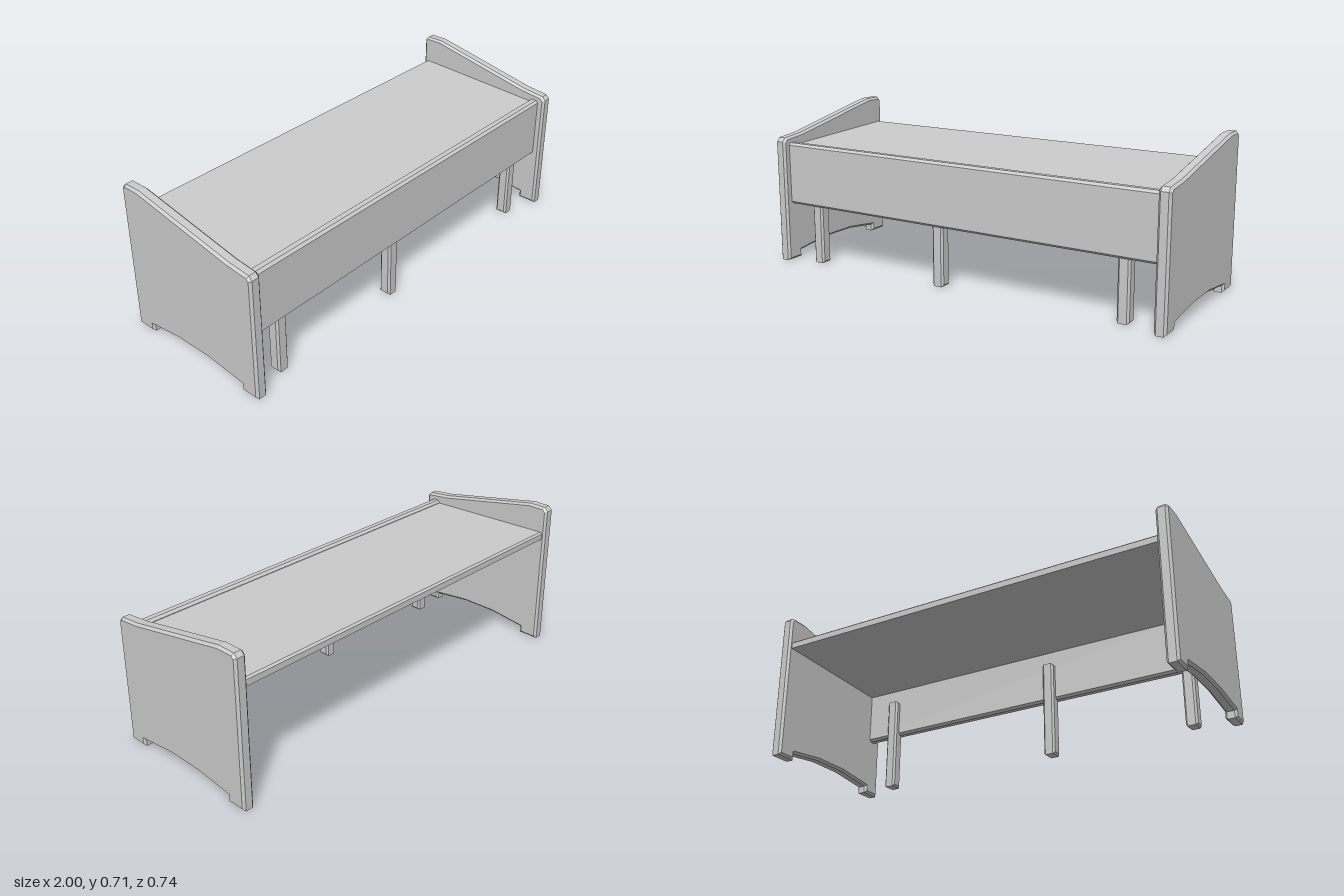
import * as THREE from 'three';

const material = new THREE.MeshStandardMaterial({ color: 0xcccccc, flatShading: true });

// Extrude a [z, y] outline between two x positions, with an optional chamfer.
function extrudeX(name, outline, x0, x1, bevel = 0) {
  const shape = new THREE.Shape(outline.map(([z, y]) => new THREE.Vector2(-z, y)));
  const geometry = new THREE.ExtrudeGeometry(shape, {
    depth: x1 - x0 - 2 * bevel,
    bevelEnabled: bevel > 0,
    bevelSize: bevel,
    bevelThickness: bevel,
    bevelOffset: -bevel,
    bevelSegments: 1,
  });
  geometry.rotateY(Math.PI / 2);
  geometry.translate(x0 + bevel, 0, 0);
  const mesh = new THREE.Mesh(geometry, material);
  mesh.name = name;
  return mesh;
}

export function createModel() {
  const model = new THREE.Group();
  model.name = 'bed';

  // End panels: sloping top, two feet and a shallow arch below
  const panel = [
    [0.368, 0], [0.368, 0.578], [0.352, 0.596], [0.245, 0.607],
    [-0.268, 0.706], [-0.351, 0.706], [-0.368, 0.688], [-0.368, 0],
    [-0.269, 0], [-0.269, 0.033], [-0.09, 0.055], [0.087, 0.055],
    [0.276, 0.033], [0.276, 0],
  ];
  model.add(extrudeX('leftEndPanel', panel, 0.945, 1, 0.0105));
  model.add(extrudeX('rightEndPanel', panel, -1, -0.945, 0.0105));

  // Front board with chamfered long edges
  const board = [
    [0.299, 0.276], [0.323, 0.276], [0.334, 0.287], [0.334, 0.559],
    [0.323, 0.57], [0.299, 0.57], [0.288, 0.559], [0.288, 0.287],
  ];
  model.add(extrudeX('frontBoard', board, -0.95, 0.95));

  // Platform, tilted slightly down towards the front board
  const platform = [
    [-0.352, 0.543], [0.3, 0.521], [0.3, 0.556], [-0.343, 0.579], [-0.352, 0.571],
  ];
  model.add(extrudeX('platform', platform, -0.95, 0.95));

  // Support legs behind the front board
  const leg = [[0.262, 0], [0.318, 0], [0.318, 0.455], [0.262, 0.455]];
  for (const x of [-0.802, -0.112, 0.79]) {
    model.add(extrudeX('supportLeg', leg, x - 0.028, x + 0.028, 0.009));
  }
  return model;
}
